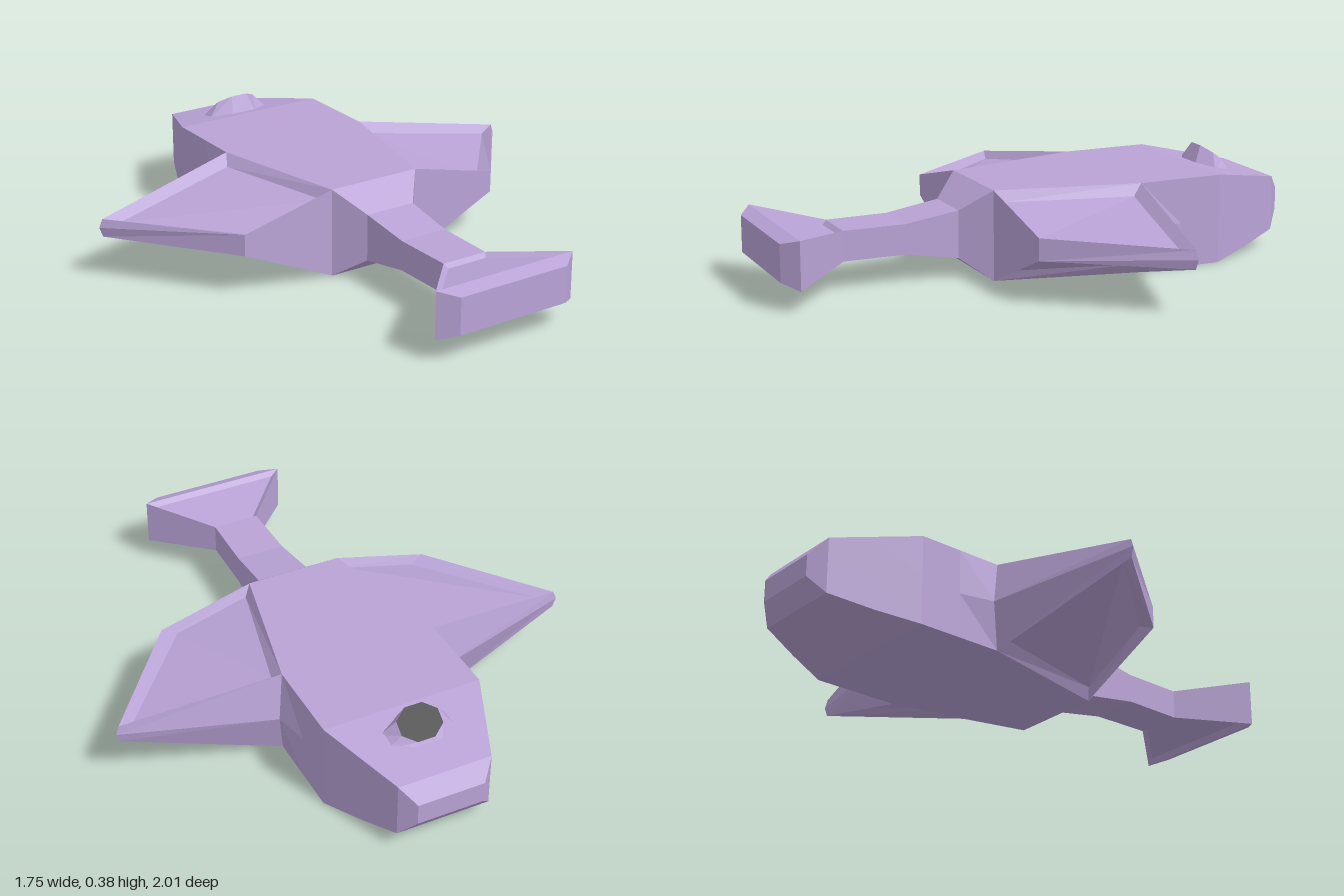
import * as THREE from 'three';

const skin = new THREE.MeshStandardMaterial({ color: 0xb9a3d6, flatShading: true });
const dark = new THREE.MeshStandardMaterial({ color: 0x0c0c0c, flatShading: true });

// Flat-shaded mesh from convex polygons (corners counter-clockwise from outside)
function faces(name, polys, material = skin) {
  const pos = [];
  for (const p of polys)
    for (let i = 1; i < p.length - 1; i++) pos.push(...p[0], ...p[i], ...p[i + 1]);
  const g = new THREE.BufferGeometry();
  g.setAttribute('position', new THREE.Float32BufferAttribute(pos, 3));
  g.computeVertexNormals();
  const mesh = new THREE.Mesh(g, material);
  mesh.name = name;
  return mesh;
}

// Walls between two rings of equal length
const bridge = (a, b) => a.map((p, i) => {
  const j = (i + 1) % a.length;
  return [p, a[j], b[j], b[i]];
});
const loft = (rings) => rings.slice(1).flatMap((r, i) => bridge(rings[i], r));
// Panel sunk inside a raised rim
const sunkPanel = (outer, inner) => [...bridge(outer, inner), inner];
const mirrorX = (polys) => polys.map((p) => p.map(([x, y, z]) => [-x, y, z]).reverse());

// Six-sided cross-section: z, half width, bottom, top, half width and z of the side crease
function section([z, w, y0, y1, mw = w, mz = z]) {
  const ym = (y0 + y1) / 2;
  return [[w, y0, z], [mw, ym, mz], [w, y1, z], [-w, y1, z], [-mw, ym, mz], [-w, y0, z]];
}

function finPolys() {
  const top = [[0.297, 0.33, -0.325], [0.18, 0.33, 0.2], [0.535, 0.24, 0.192], [0.865, 0.232, -0.225]];
  const topIn = [[0.318, 0.29, -0.285], [0.205, 0.29, 0.18], [0.48, 0.22, 0.175], [0.805, 0.212, -0.205]];
  const bottom = [[0.297, 0, -0.325], [0.865, 0.165, -0.225], [0.535, 0.16, 0.192], [0.18, 0, 0.2]];
  const bottomIn = [[0.318, 0.04, -0.285], [0.805, 0.187, -0.205], [0.48, 0.18, 0.175], [0.205, 0.04, 0.18]];
  const [A, D, C, B] = top, [a, b, c, d] = bottom;
  const root = [0.325, 0.165, -0.362], tip = [0.877, 0.2, -0.228];
  return [
    ...sunkPanel(top, topIn), ...sunkPanel(bottom, bottomIn),
    [d, c, C, D],                            // trailing face
    [c, b, tip, B, C],                       // outer edge
    [A, B, tip, root], [root, tip, b, a],    // folded leading edge
  ];
}

function flukePolys() {
  const q = (w0, z0, y0, w1, z1, y1) => [[-w0, y0, z0], [-w1, y1, z1], [w1, y1, z1], [w0, y0, z0]];
  const top = q(0.088, 0.73, 0.22, 0.285, 0.95, 0.255);
  const topIn = q(0.078, 0.745, 0.205, 0.25, 0.935, 0.237);
  const bot = q(0.088, 0.73, 0.11, 0.285, 0.95, 0.08);
  const botIn = q(0.078, 0.745, 0.125, 0.25, 0.935, 0.098);
  const rim = [bot[1], bot[2], top[2], top[1]];
  const end = [[-0.22, 0.1, 1], [0.22, 0.1, 1], [0.22, 0.235, 1], [-0.22, 0.235, 1]];
  const side = [bot[3], top[3], top[2], bot[2]];
  return [
    ...sunkPanel(top, topIn), ...sunkPanel(bot.reverse(), botIn.reverse()),
    side, ...mirrorX([side]), ...bridge(rim, end), end,
  ];
}

export function createModel() {
  const model = new THREE.Group();
  model.name = 'whale';

  // Body, with blunt snout towards -z
  const body = [
    [-1, 0.125, 0.13, 0.21], [-0.95, 0.175, 0.065, 0.27], [-0.8, 0.236, 0.028, 0.3],
    [-0.65, 0.297, 0, 0.33], [-0.49, 0.297, 0, 0.33],
    [-0.325, 0.297, 0, 0.33, 0.325, -0.362], [0.2, 0.18, 0, 0.33],
  ].map(section);
  model.add(faces('body', [...loft(body), [...body[0]].reverse()]));

  // Tail stock and fluke
  const tail = [
    [0.2, 0.18, 0, 0.33], [0.3, 0.098, 0.075, 0.25], [0.5, 0.092, 0.11, 0.22], [0.73, 0.088, 0.11, 0.22],
  ].map(section);
  model.add(faces('tailStock', loft(tail)));
  model.add(faces('tailFluke', flukePolys()));

  // Side fins
  model.add(faces('leftFin', finPolys()));
  model.add(faces('rightFin', mirrorX(finPolys())));

  // Blowhole: a tilted octagonal mound with a dark opening
  const ring = (rx, rz, zc, height) => Array.from({ length: 8 }, (_, i) => {
    const t = ((i + 0.5) * Math.PI) / 4;
    const z = zc - rz * Math.sin(t);
    return [rx * Math.cos(t), height(z), z];
  });
  const base = ring(0.14, 0.08, -0.76, (z) => 0.32 + 0.2 * (z + 0.65));
  const rim = ring(0.085, 0.054, -0.77, (z) => 0.345 + 0.75 * (z + 0.77));
  model.add(faces('blowholeMound', bridge(base, rim)));
  model.add(faces('blowholeOpening', [rim], dark));

  // Slight turn of the whole animal
  model.rotation.y = 0.029;
  const group = new THREE.Group();
  group.add(model);
  return group;
}
